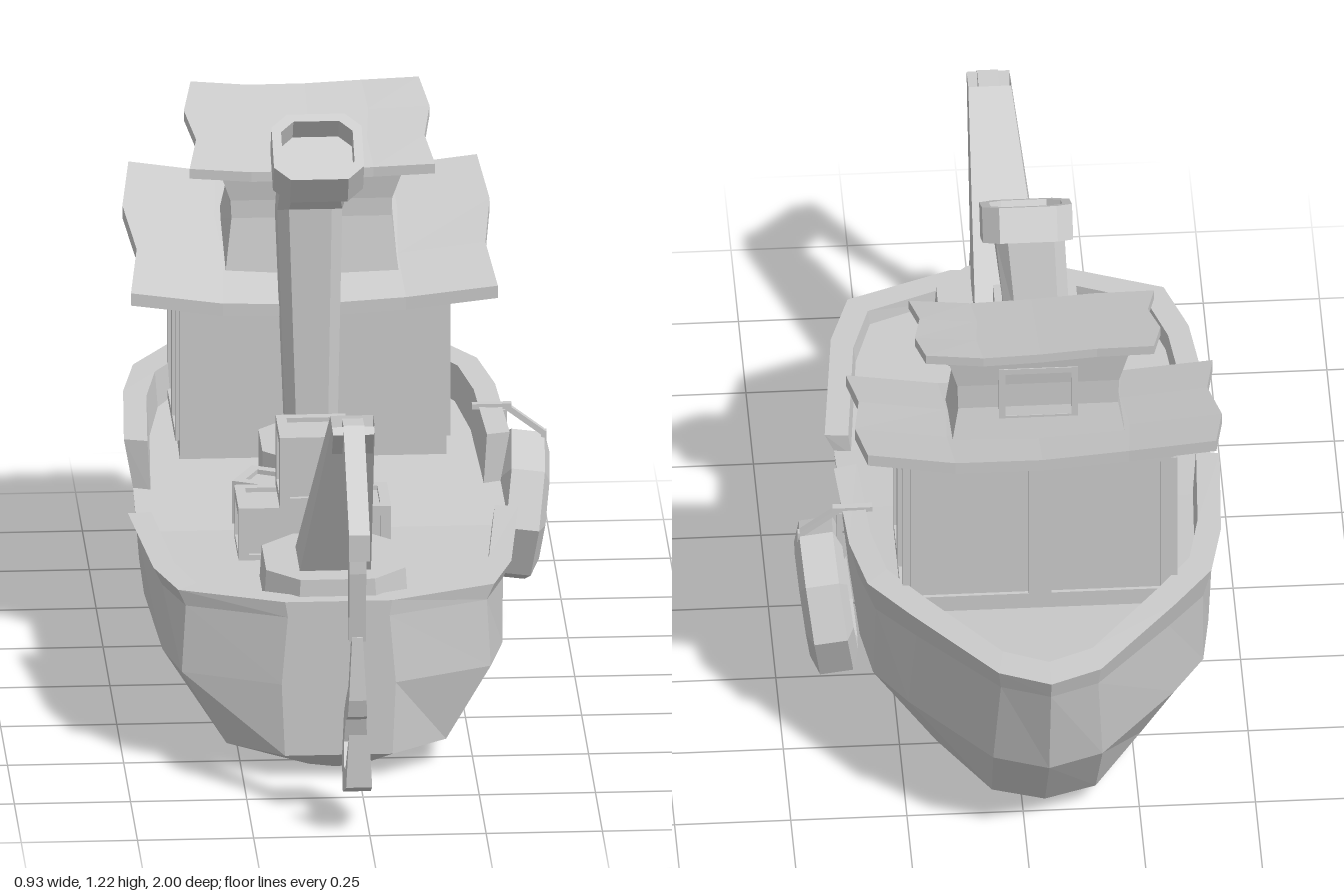
import * as THREE from 'three';

const mat = new THREE.MeshStandardMaterial({ color: 0xcccccc, flatShading: true, side: THREE.DoubleSide });

function add(parent, name, geometry, x = 0, y = 0, z = 0) {
  const m = new THREE.Mesh(geometry, mat);
  m.name = name;
  m.position.set(x, y, z);
  parent.add(m);
  return m;
}

const box = (w, h, d) => new THREE.BoxGeometry(w, h, d);

// Closed solid through rings of equal point count; both ends are capped.
function loft(rings) {
  const n = rings[0].length, tris = [];
  for (let r = 0; r < rings.length - 1; r++) {
    for (let i = 0; i < n; i++) {
      const j = (i + 1) % n, a = rings[r], b = rings[r + 1];
      tris.push([a[i], a[j], b[j]], [a[i], b[j], b[i]]);
    }
  }
  const cap = (p, flip) => {
    const put = (a, b, c) => tris.push(flip ? [c, b, a] : [a, b, c]);
    put(p[0], p[1], p[n - 1]);
    for (let lo = 1, hi = n - 1; lo < hi - 1; lo++, hi--) {
      put(p[lo], p[lo + 1], p[hi]);
      if (lo + 1 < hi - 1) put(p[lo + 1], p[hi - 1], p[hi]);
    }
  };
  cap(rings[0], true);
  cap(rings[rings.length - 1], false);
  // turn the faces outward
  let vol = 0;
  for (const [a, b, c] of tris) {
    vol += new THREE.Vector3(...a).dot(new THREE.Vector3(...b).cross(new THREE.Vector3(...c)));
  }
  if (vol < 0) tris.forEach((t) => t.reverse());
  const g = new THREE.BufferGeometry();
  g.setAttribute('position', new THREE.Float32BufferAttribute(tris.flat(2), 3));
  g.computeVertexNormals();
  return g;
}

// Square outline with cut corners, as [x, z] pairs.
function octagon(w, d, c) {
  return [[w, d - c], [w - c, d], [c - w, d], [-w, d - c], [-w, c - d], [c - w, -d], [w - c, -d], [w, c - d]];
}
const octRing = (w, d, c, x, y, z, tilt = 0) => octagon(w, d, c).map(([px, pz]) => [x + px, y - pz * tilt, z + pz]);
const vectors = (points) => points.map((p) => new THREE.Vector2(...p));

// Side profile of [z, y] points given a width along x.
function sidePlate(points, width) {
  const g = new THREE.ExtrudeGeometry(new THREE.Shape(vectors(points)), { depth: width, bevelEnabled: false });
  return g.translate(0, 0, -width / 2).rotateY(-Math.PI / 2);
}

// Flat frame with an open middle; top may slope from h1 (left) to h2 (right).
function frame(w, h1, h2, b, depth) {
  const quad = (i) => vectors([[-w / 2 + i, i], [w / 2 - i, i], [w / 2 - i, h2 - i], [-w / 2 + i, h1 - i]]);
  const s = new THREE.Shape(quad(0));
  s.holes.push(new THREE.Path(quad(b)));
  return new THREE.ExtrudeGeometry(s, { depth, bevelEnabled: false });
}

// Crate: recessed core with a beam on each edge.
function crate(parent, x, y, z, w, h, d, turn = 0) {
  const g = new THREE.Group();
  g.name = 'crate';
  g.position.set(x, y + h / 2, z);
  g.rotation.y = turn;
  parent.add(g);
  const b = 0.022;
  add(g, 'crateCore', box(w - 0.02, h - 0.02, d - 0.02));
  for (const s of [-1, 1]) for (const t of [-1, 1]) {
    add(g, 'crateBeam', box(w, b, b), 0, s * (h - b) / 2, t * (d - b) / 2);
    add(g, 'crateBeam', box(b, h, b), s * (w - b) / 2, 0, t * (d - b) / 2);
    add(g, 'crateBeam', box(b, b, d), s * (w - b) / 2, t * (h - b) / 2, 0);
  }
}

// Sloped roof with curled sides and an uneven edge.
function roof(parent, name, w, t, d, y, z, slope, curl, wiggle) {
  const r = new THREE.BoxGeometry(w, t, d, 4, 1, 3), p = r.attributes.position;
  for (let i = 0; i < p.count; i++) {
    const px = p.getX(i), pz = p.getZ(i), u = px / (w / 2), v = pz / (d / 2);
    p.setXYZ(i,
      px + u * wiggle * Math.cos(v * 4.7 + 0.6) * (u > 0 ? 1 : 1.2),
      p.getY(i) - slope * pz + curl * u * u,
      pz - 0.6 * wiggle * Math.sin(u * 3));
  }
  r.computeVertexNormals();
  add(parent, name, r, 0, y, z);
}

export function createModel() {
  const model = new THREE.Group();
  model.name = 'tugboat';
  const boat = new THREE.Group();
  boat.name = 'boat';
  boat.position.x = -0.045;
  model.add(boat);

  // Hull: half plan outline (bow to stern), mirrored; lower levels are narrower with blunter ends
  const half = [[0.11, -0.95], [0.285, -0.72], [0.37, -0.6], [0.4, -0.45], [0.415, -0.17], [0.42, 0.06], [0.385, 0.4], [0.34, 0.54], [0.115, 0.63]];
  const outline = [[0, -1], ...half, ...half.map(([x, z]) => [-x, z]).reverse()];
  const deckY = (z) => 0.37 - 0.12 * Math.min(z, 0);
  const level = (width, blunt, bow, stern, y) => outline.map(([x, z]) => [
    Math.sign(x) * width * (1 - (1 - Math.abs(x) / 0.42) ** blunt), y(z), z * (z < 0 ? bow : stern),
  ]);
  const rim = level(0.4, 1, 0.985, 1, deckY);
  add(boat, 'hull', loft([
    level(0, 1, 0.7, 0.87, () => 0),
    level(0.13, 2, 0.72, 0.91, () => 0.016),
    level(0.245, 2, 0.78, 1, () => 0.055),
    level(0.385, 1.2, 0.925, 1, (z) => 0.23 - 0.02 * z),
    rim,
  ]));

  // Bulwarks: one around the bow, one around the stern, with a gap on each side
  const n = outline.length;
  const bulwark = (name, from, to, topY) => {
    const rings = [];
    for (let k = from; k <= to; k++) {
      const i = (k + n) % n, [x, z] = outline[i], y = topY(z), ix = x * 0.88, iz = z * 0.92;
      rings.push([rim[i], [x, y, z], [ix, y, iz], [ix * 0.98, deckY(z) - 0.01, iz]]);
    }
    add(boat, name, loft(rings));
  };
  bulwark('bowBulwark', -5, 5, (z) => 0.493 - 0.042 * z);
  bulwark('sternBulwark', 6, n - 6, (z) => 0.414 - 0.015 * z);

  // Cabin with a sloped top and framed panels
  const rect = (w, z0, z1, y0, y1) => [[-w, y0, z0], [w, y0, z0], [w, y1, z1], [-w, y1, z1]];
  add(boat, 'cabin', loft([rect(0.287, -0.3, -0.612, 0.38, 0.38), rect(0.287, -0.3, -0.612, 0.778, 0.872)]));
  for (const s of [-1, 1]) {
    const front = add(boat, 'cabinFrontPanel', frame(0.275, 0.385, 0.385, 0.02, 0.014), s * 0.142, 0.47, -0.606);
    front.rotation.y = Math.PI;
    for (const [z, w, h] of [[-0.375, 0.13, 0.33], [-0.535, 0.16, 0.37]]) {
      const hs = [h - 0.15 * w, h + 0.15 * w];
      if (s < 0) hs.reverse();
      const side = add(boat, 'cabinSidePanel', frame(w, hs[0], hs[1], 0.018, 0.014), s * 0.282, 0.445, z);
      side.rotation.y = s * Math.PI / 2;
    }
  }
  roof(boat, 'cabinRoof', 0.77, 0.028, 0.46, 0.83, -0.47, 0.3, 0.033, 0.016);

  // Wheelhouse with a pinched waist
  add(boat, 'wheelhouse', loft([
    rect(0.19, -0.34, -0.58, 0.78, 0.855),
    rect(0.172, -0.365, -0.555, 0.93, 0.95),
    rect(0.174, -0.365, -0.555, 0.97, 1.01),
    rect(0.2, -0.355, -0.565, 1.045, 1.105),
  ]));
  add(boat, 'wheelhouseWindow', frame(0.17, 0.14, 0.14, 0.014, 0.02), 0, 0.915, -0.542).rotation.y = Math.PI;
  roof(boat, 'wheelhouseRoof', 0.51, 0.022, 0.31, 1.086, -0.47, 0.29, 0.01, 0.015);

  // Funnel: foot, bent column and tilted open cap
  add(boat, 'funnelFoot', loft([octRing(0.11, 0.11, 0.04, -0.01, 0.36, -0.19), octRing(0.11, 0.11, 0.04, -0.01, 0.485, -0.19)]));
  add(boat, 'funnelColumn', loft([
    octRing(0.055, 0.057, 0.022, -0.01, 0.47, -0.22),
    octRing(0.07, 0.067, 0.024, -0.015, 1.0, -0.215, -0.35),
    octRing(0.074, 0.066, 0.024, -0.005, 1.11, -0.175, 0.6),
  ]));
  const plate = (w, d, c) => vectors(octagon(w, d, c));
  const cap = new THREE.Shape(plate(0.097, 0.09, 0.035));
  cap.holes.push(new THREE.Path(plate(0.077, 0.07, 0.028)));
  const capMesh = add(boat, 'funnelCap', new THREE.ExtrudeGeometry(cap, { depth: 0.077, bevelEnabled: false }), 0, 1.106, -0.172);
  capMesh.rotation.x = -Math.PI / 2 + 0.56;
  const floor = new THREE.Shape(plate(0.09, 0.08, 0.03));
  add(capMesh, 'funnelCapFloor', new THREE.ExtrudeGeometry(floor, { depth: 0.02, bevelEnabled: false }), 0, 0, 0.003);

  // Crates on deck
  crate(boat, -0.112, 0.36, 0.18, 0.163, 0.128, 0.155);
  crate(boat, 0.053, 0.36, 0.18, 0.163, 0.128, 0.155);
  crate(boat, -0.03, 0.488, 0.185, 0.15, 0.16, 0.15);
  crate(boat, -0.12, 0.365, 0.0, 0.11, 0.105, 0.11, -0.45);

  // Crane: foot, tapered arm, forearm, link and hook
  add(boat, 'craneFoot', loft([octRing(0.155, 0.155, 0.07, 0, 0.36, 0.445), octRing(0.15, 0.15, 0.07, 0, 0.442, 0.445)]));
  const armRing = (x0, x1, y, z0, z1, dy = 0) => [[x0, y, z0], [x1, y, z0], [x1, y + dy, z1], [x0, y + dy, z1]];
  add(boat, 'craneArm', loft([
    armRing(-0.08, 0.075, 0.43, 0.37, 0.53),
    armRing(-0.022, 0.07, 0.85, 0.695, 0.755, -0.005),
    armRing(-0.02, 0.068, 0.77, 0.715, 0.765, 0.06),
  ]));
  add(boat, 'craneForearm', sidePlate([[0.7, 0.845], [0.755, 0.848], [0.96, 0.67], [0.96, 0.61], [0.895, 0.635], [0.715, 0.77]], 0.045), 0.025);
  add(boat, 'craneLink', sidePlate([[0.95, 0.66], [0.955, 0.58], [0.935, 0.42], [0.91, 0.42], [0.895, 0.58], [0.895, 0.65]], 0.036), 0.022);
  const hook = sidePlate([[0.94, 0.43], [0.95, 0.29], [0.94, 0.25], [0.885, 0.225], [0.87, 0.17], [0.905, 0.125], [0.95, 0.135], [0.965, 0.17],
    [1, 0.23], [1, 0.11], [0.91, 0.07], [0.835, 0.12], [0.825, 0.22], [0.86, 0.265], [0.91, 0.31], [0.91, 0.43]], 0.06);
  const hp = hook.attributes.position;
  for (let i = 0; i < hp.count; i++) hp.setX(i, hp.getX(i) * (1.12 - 1.7 * hp.getY(i)));
  hook.computeVertexNormals();
  add(boat, 'hook', hook, 0.022);

  // Tyre fender hung from the rail by a strap
  const tyre = [[0.085, -0.03], [0.125, -0.052], [0.168, -0.036], [0.168, 0.036], [0.125, 0.052], [0.085, 0.03], [0.085, -0.03]];
  const fender = add(boat, 'tyreFender', new THREE.LatheGeometry(vectors(tyre), 8), 0.442, 0.28, -0.328);
  fender.rotation.z = Math.PI / 2 - 0.13;
  add(boat, 'strapOverRail', box(0.085, 0.012, 0.016), 0.385, 0.508, -0.32);
  add(boat, 'strapSlope', box(0.1, 0.012, 0.016), 0.455, 0.477, -0.32).rotation.z = -0.65;
  add(boat, 'strapOuter', box(0.012, 0.1, 0.016), 0.497, 0.4, -0.32);
  add(boat, 'strapInner', box(0.012, 0.14, 0.016), 0.412, 0.43, -0.32);
  add(boat, 'strapUnder', box(0.09, 0.012, 0.016), 0.455, 0.357, -0.32);

  return model;
}
